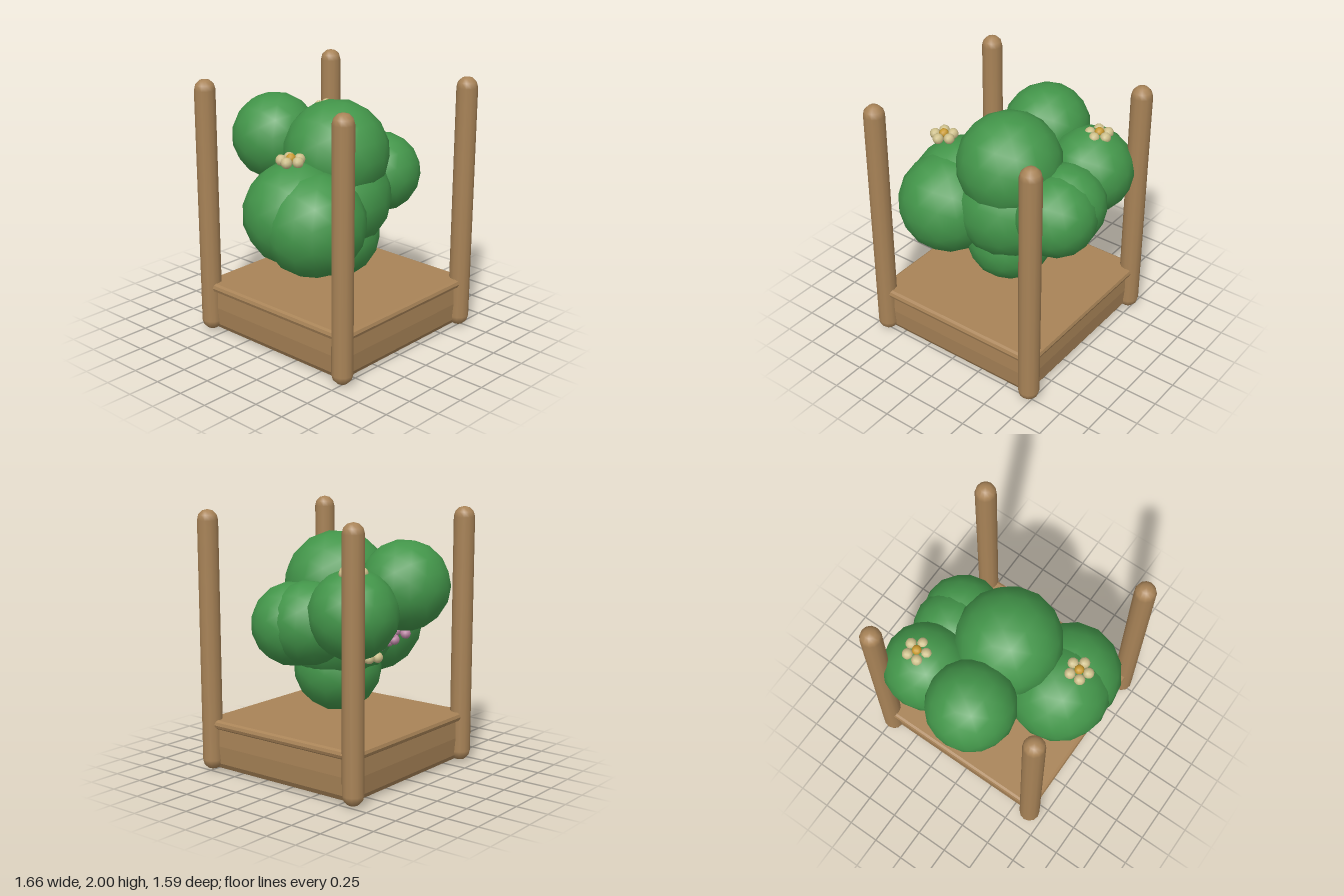
import * as THREE from 'three';

const mat = (name, color) => {
  const m = new THREE.MeshStandardMaterial({ color });
  m.name = name;
  return m;
};

export function createModel() {
  const model = new THREE.Group();
  model.name = 'canopyPlanter';
  const wood = mat('wood', 0xa88357);
  const leaf = mat('leafGreen', 0x43964a);
  const cream = mat('petalCream', 0xcdbf8a);
  const gold = mat('flowerGold', 0xc99a2e);
  const pink = mat('berryPink', 0xbd87a6);

  const add = (parent, name, geo, material, x, y, z) => {
    const mesh = new THREE.Mesh(geo, material);
    mesh.name = name;
    mesh.position.set(x, y, z);
    parent.add(mesh);
    return mesh;
  };
  const CX = 0.07, CZ = -0.04;

  // Square solid with a [halfWidth, height] side profile, flat faces
  const squareLathe = (profile) => {
    const pts = profile.map(([h, y]) => new THREE.Vector2(h * Math.SQRT2, y));
    const geo = new THREE.LatheGeometry(pts, 4, Math.PI / 4).toNonIndexed();
    geo.computeVertexNormals();
    return geo;
  };

  // Base box with bulging sides, and its rounded lid
  add(model, 'baseBox', squareLathe([
    [0, 0], [0.62, 0.003], [0.655, 0.02], [0.678, 0.06], [0.69, 0.2], [0.685, 0.34], [0, 0.34],
  ]), wood, CX, 0, CZ);
  add(model, 'baseLid', squareLathe([
    [0, 0.338], [0.7, 0.338], [0.718, 0.35], [0.726, 0.373], [0.718, 0.396], [0.7, 0.408], [0, 0.408],
  ]), wood, CX, 0, CZ);

  // Four corner posts with rounded ends
  const postGeo = new THREE.CapsuleGeometry(0.08, 1.83, 3, 12);
  for (const sx of [-1, 1]) for (const sz of [-1, 1]) {
    add(model, 'cornerPost', postGeo, wood, CX + sx * 0.68, 1.005, CZ + sz * 0.68);
  }

  // Foliage balls: x, y, z, radius
  const foliage = new THREE.Group();
  foliage.name = 'foliage';
  model.add(foliage);
  [
    [0.07, 1.43, -0.04, 0.4], [0.07, 1.09, -0.04, 0.42], [0.07, 0.79, -0.04, 0.335],
    [-0.5, 1.465, 0.03, 0.335],
    [0.08, 1.07, 0.41, 0.39], [0.25, 1.025, 0.4, 0.39],
    [-0.395, 1.305, -0.445, 0.33],
    [0.12, 1.185, -0.495, 0.31], [-0.02, 1.205, -0.48, 0.31],
  ].forEach(([x, y, z, r]) => {
    add(foliage, 'foliageBall', new THREE.IcosahedronGeometry(r * 1.005, 2), leaf, x, y, z);
  });

  // Flowers: five petals around a gold centre
  const petalGeo = new THREE.IcosahedronGeometry(0.042, 1);
  const heartGeo = new THREE.IcosahedronGeometry(0.037, 1);
  const flower = (x, y, z, turn, tilt = 0) => {
    const g = new THREE.Group();
    g.name = 'flower';
    g.position.set(x, y, z);
    g.rotation.z = tilt;
    add(g, 'flowerCentre', heartGeo, gold, 0, 0.016, 0);
    for (let i = 0; i < 5; i++) {
      const a = turn + (i * Math.PI * 2) / 5;
      add(g, 'petal', petalGeo, cream, Math.cos(a) * 0.07, 0, Math.sin(a) * 0.07);
    }
    model.add(g);
  };
  flower(0.145, 1.513, 0.52, 0.0 + 0.3 - 0.3);
  flower(-0.425, 1.61, -0.49, 0);
  flower(-0.335, 0.955, -0.19, 0.2, 0.15);

  // Hanging berry cluster, tapering toward its tip
  const berries = new THREE.Group();
  berries.name = 'berryCluster';
  model.add(berries);
  const berryGeo = new THREE.IcosahedronGeometry(0.04, 1);
  const top = new THREE.Vector3(-0.465, 1.11, 0.04);
  const tip = new THREE.Vector3(-0.27, 0.945, -0.19);
  for (let i = 0; i < 16; i++) {
    const t = i / 15, a = i * 2.4, r = 0.055 * (1 - t);
    const p = top.clone().lerp(tip, t);
    add(berries, 'berry', berryGeo, pink, p.x + Math.cos(a) * r, p.y + Math.sin(a * 1.3) * r * 0.7, p.z + Math.sin(a) * r);
  }
  return model;
}
